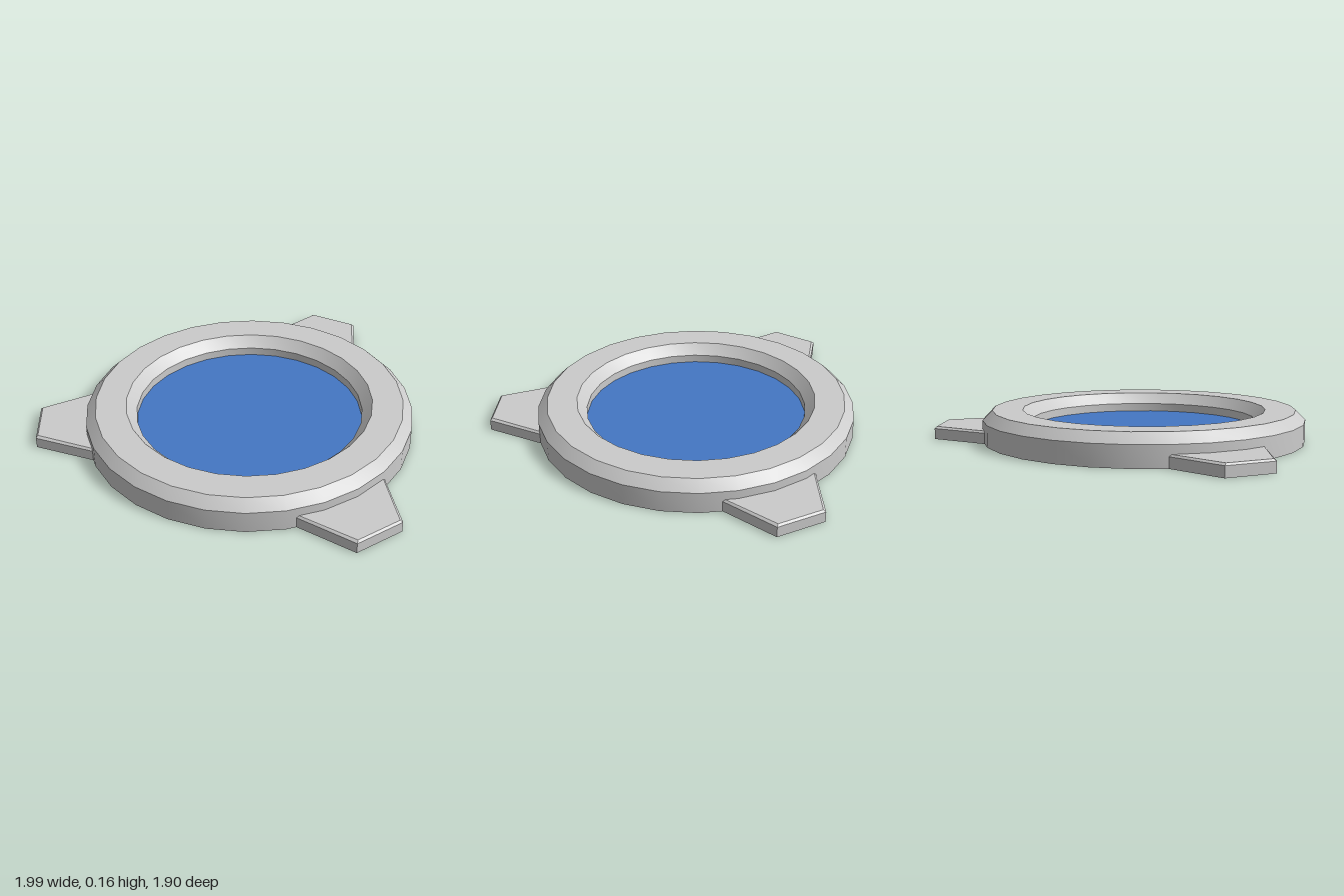
import * as THREE from 'three';
import { toCreasedNormals } from 'three/addons/utils/BufferGeometryUtils.js';

const SIDES = 28;

// Trapezoid lug pointing to -z, with a small chamfer round its top edge
function lugGeometry() {
  const inner = 0.78, outer = 1.075, height = 0.065, chamfer = 0.01;
  const shape = new THREE.Shape([
    new THREE.Vector2(-0.257, inner), new THREE.Vector2(0.257, inner),
    new THREE.Vector2(0.13, outer), new THREE.Vector2(-0.13, outer),
  ]);
  const geo = new THREE.ExtrudeGeometry(shape, { depth: height, steps: 2, bevelEnabled: false });
  const p = geo.attributes.position;
  for (let i = 0; i < p.count; i++) {
    const z = p.getZ(i);
    if (z > height * 0.75) {
      p.setX(i, p.getX(i) - Math.sign(p.getX(i)) * chamfer);
      if (p.getY(i) > 1) p.setY(i, outer - chamfer);
    } else if (z > height * 0.25) p.setZ(i, height - chamfer);
  }
  geo.rotateX(-Math.PI / 2);
  geo.computeVertexNormals();
  return geo;
}

export function createModel() {
  const model = new THREE.Group();
  model.name = 'ringWindow';
  const grey = new THREE.MeshStandardMaterial({ color: 0xcccccc });
  const blue = new THREE.MeshStandardMaterial({ color: 0x4477c4, side: THREE.DoubleSide });

  const add = (name, geometry, material) => {
    const mesh = new THREE.Mesh(geometry, material);
    mesh.name = name;
    mesh.position.z = 0.12;
    model.add(mesh);
    return mesh;
  };

  // Ring frame, chamfered on both upper edges
  const profile = [
    [0.575, 0], [0.83, 0], [0.83, 0.11], [0.78, 0.16],
    [0.625, 0.16], [0.575, 0.105], [0.575, 0],
  ].map(([r, y]) => new THREE.Vector2(r, y));
  add('ringFrame', toCreasedNormals(new THREE.LatheGeometry(profile, SIDES), 0.5), grey);

  // Pane set inside the opening
  add('glassPane', new THREE.CircleGeometry(0.575, SIDES).rotateX(-Math.PI / 2).translate(0, 0.063, 0), blue);

  // Three mounting lugs, evenly spaced
  const lug = lugGeometry();
  ['backLug', 'rightLug', 'leftLug'].forEach((name, i) => {
    add(name, lug, grey).rotation.y = (i * Math.PI * 2) / 3;
  });

  return model;
}
